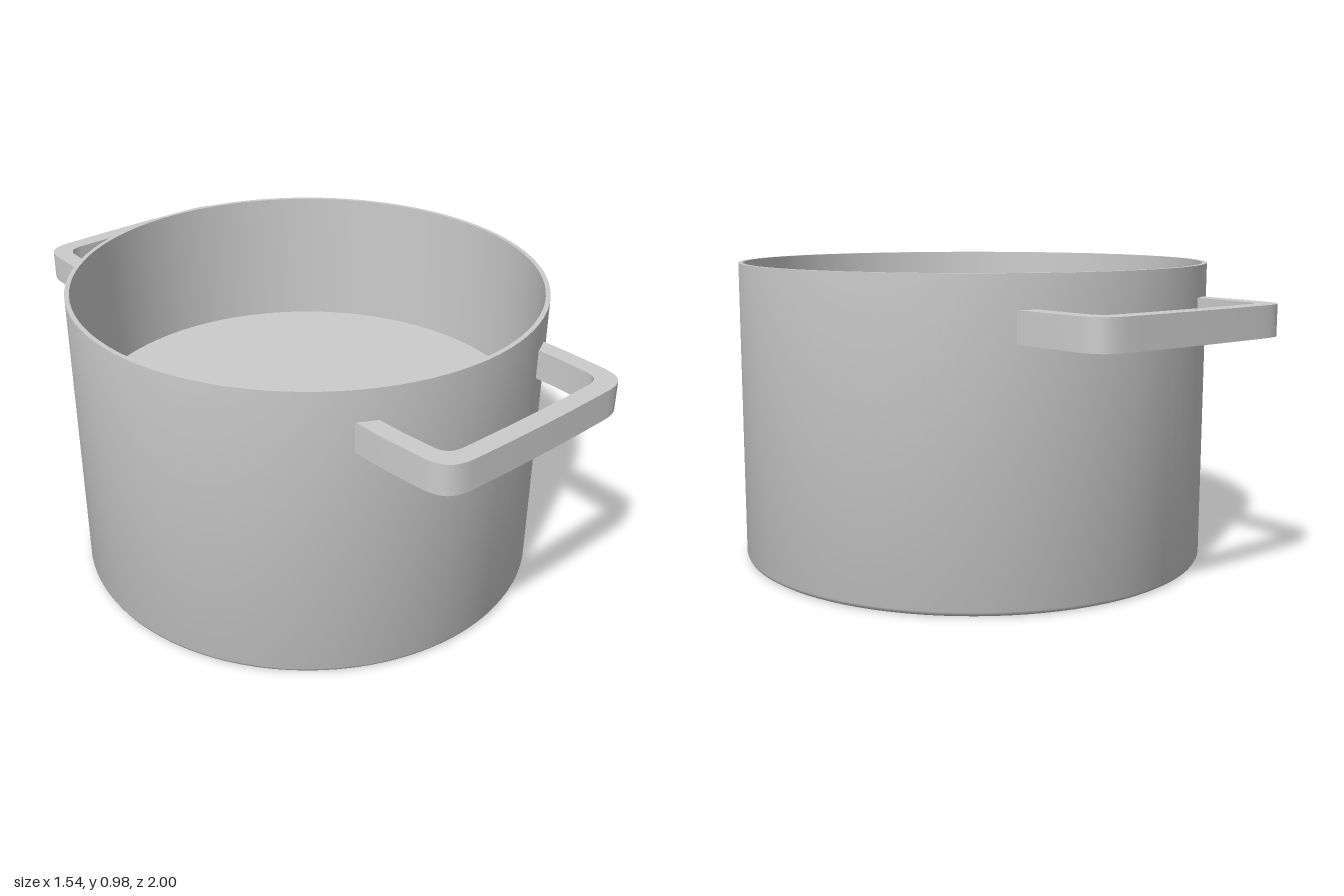
import * as THREE from 'three';
import { toCreasedNormals } from 'three/addons/utils/BufferGeometryUtils.js';

const material = new THREE.MeshStandardMaterial({ color: 0xcccccc });

function part(name, geometry) {
  const mesh = new THREE.Mesh(toCreasedNormals(geometry, 0.6), material);
  mesh.name = name;
  return mesh;
}

// Pot: bevelled base, straight outer wall, thin rim, inner wall and raised floor
function createPot() {
  const profile = [
    [0, 0], [0.757, 0], [0.765, 0.005], [0.77, 0.015], [0.77, 0.975],
    [0.755, 0.975], [0.755, 0.51], [0, 0.51],
  ].map(([r, y]) => new THREE.Vector2(r, y));
  return part('pot', new THREE.LatheGeometry(profile, 96));
}

// Handle outline in plan (x, distance from the pot centre), ends buried in the wall
function createHandleGeometry() {
  const s = new THREE.Shape();
  s.moveTo(-0.4, 0.65);
  s.lineTo(-0.4, 0.78);
  s.lineTo(-0.393, 0.91);
  s.bezierCurveTo(-0.385, 0.97, -0.36, 0.99, -0.3, 0.995);
  s.quadraticCurveTo(-0.013, 1.005, 0.274, 0.995);
  s.bezierCurveTo(0.334, 0.99, 0.36, 0.97, 0.367, 0.91);
  s.lineTo(0.374, 0.78);
  s.lineTo(0.374, 0.667);
  s.lineTo(0.315, 0.695);
  s.lineTo(0.315, 0.78);
  s.lineTo(0.308, 0.89);
  s.bezierCurveTo(0.303, 0.92, 0.29, 0.933, 0.255, 0.937);
  s.quadraticCurveTo(-0.013, 0.945, -0.281, 0.937);
  s.bezierCurveTo(-0.316, 0.933, -0.329, 0.92, -0.334, 0.89);
  s.lineTo(-0.341, 0.78);
  s.lineTo(-0.341, 0.683);
  s.closePath();
  return new THREE.ExtrudeGeometry(s, { depth: 0.095, bevelEnabled: false, curveSegments: 10 });
}

export function createModel() {
  const model = new THREE.Group();
  model.name = 'cookingPot';
  model.add(createPot());

  // Front and back loop handles
  for (const side of [1, -1]) {
    const handle = part(side > 0 ? 'frontHandle' : 'backHandle', createHandleGeometry());
    handle.rotation.x = side * Math.PI / 2;
    handle.position.y = side > 0 ? 0.875 : 0.78;
    model.add(handle);
  }
  return model;
}
